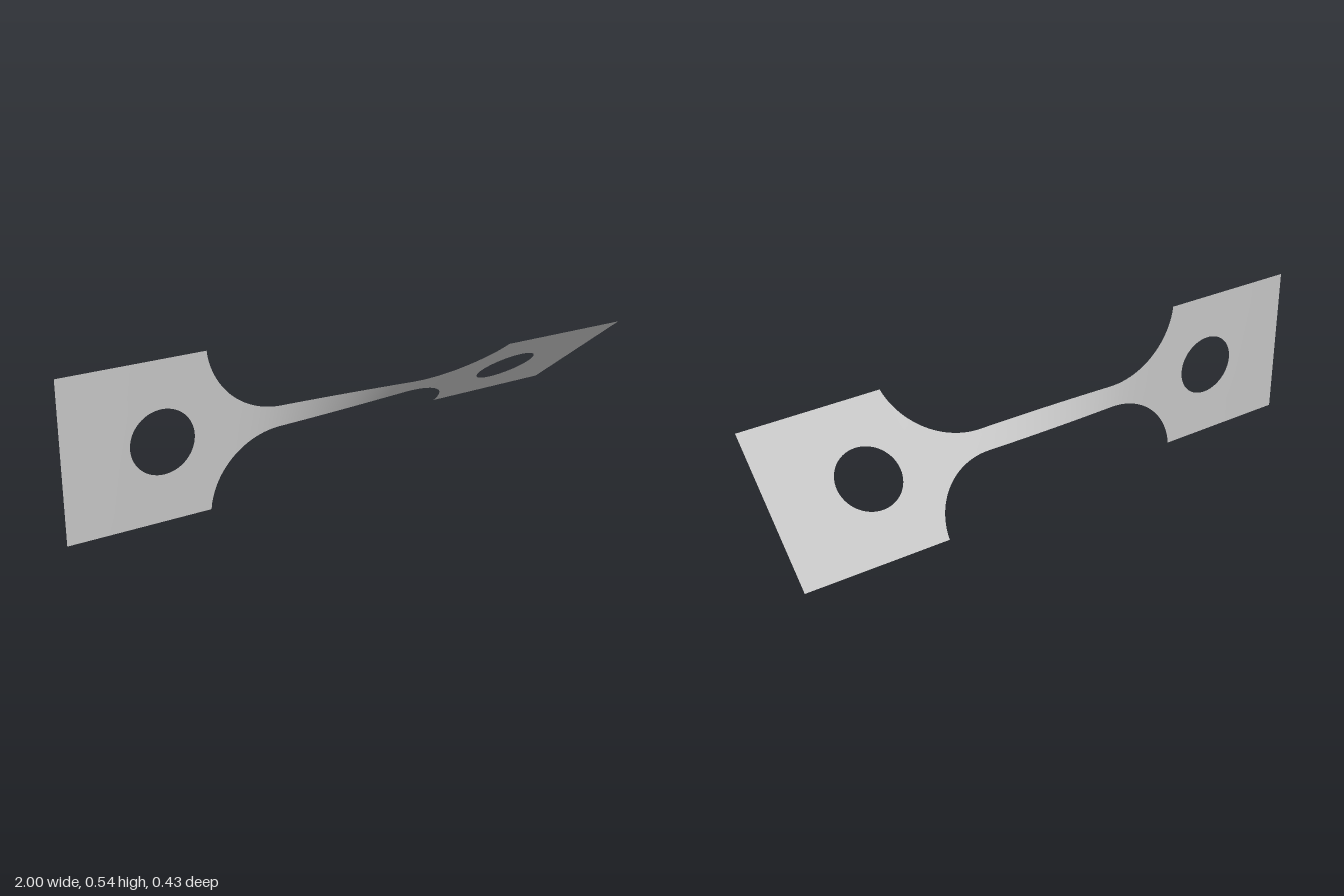
import * as THREE from 'three';
import { mergeGeometries, mergeVertices } from 'three/addons/utils/BufferGeometryUtils.js';

const HALF = 0.27, NECK = 0.038;            // half widths of grip and neck
const HOLE_X = 0.67, HOLE_R = 0.109;
const FILLET_R = 0.26, FILLET_X = 0.253, GRIP_X = 0.511;
const MID_Y = 0.2705;

// Twist away from the middle angle, in degrees, against distance from the centre
const TWIST = [[0, 0], [0.25, 18], [0.3, 21.3], [0.35, 23.5], [0.4, 24.6], [0.5, 25.2], [1, 25.8]];

function twistAt(x) {
  const d = Math.abs(x);
  let i = 1;
  while (i < TWIST.length - 1 && d > TWIST[i][0]) i++;
  const [x0, a0] = TWIST[i - 1], [x1, a1] = TWIST[i];
  const a = a0 + (a1 - a0) * (d - x0) / (x1 - x0);
  return THREE.MathUtils.degToRad(26.2 + Math.sign(x) * a);
}

// Sheet strip from cross-sections [x, low, high], turned about the long axis
function strip(sections, rows) {
  const pos = [], index = [];
  sections.forEach(([x, lo, hi], i) => {
    const a = twistAt(x);
    for (let j = 0; j <= rows; j++) {
      const w = lo + (hi - lo) * j / rows;
      pos.push(x, MID_Y + w * Math.cos(a), w * Math.sin(a));
      if (i && j) {
        const d = i * (rows + 1) + j, b = d - rows - 1;
        index.push(b - 1, d - 1, d, b - 1, d, b);
      }
    }
  });
  const g = new THREE.BufferGeometry();
  g.setAttribute('position', new THREE.Float32BufferAttribute(pos, 3));
  g.setIndex(index);
  return g;
}

const range = (n, f) => Array.from({ length: n + 1 }, (_, i) => f(i / n));
const lerp = THREE.MathUtils.lerp;

// Grip plate with its round hole and the fillets into the neck; s is the side
function gripGeometry(s) {
  const order = (list) => (s < 0 ? list.reverse() : list);
  const plain = (x0, x1) => strip(order(range(6, t => [s * lerp(x0, x1, t), -HALF, HALF])), 8);
  const hole = (k) => strip(order(range(48, t => {
    const a = Math.PI * t;
    const x = s * (HOLE_X - HOLE_R * Math.cos(a)), h = HOLE_R * Math.sin(a);
    return k > 0 ? [x, h, HALF] : [x, -HALF, -h];
  })), 4);
  const end = Math.asin((GRIP_X - FILLET_X) / FILLET_R);
  const fillet = strip(order(range(32, t => {
    const a = end * t;
    const h = t === 1 ? HALF : NECK + FILLET_R * (1 - Math.cos(a));
    return [s * (FILLET_X + FILLET_R * Math.sin(a)), -h, h];
  })), 8);
  const parts = [fillet, plain(GRIP_X, HOLE_X - HOLE_R), hole(1), hole(-1), plain(HOLE_X + HOLE_R, 1)];
  const g = mergeVertices(mergeGeometries(parts), 1e-5);
  g.computeVertexNormals();
  return g;
}

export function createModel() {
  const group = new THREE.Group();
  group.name = 'twistedSheetSpecimen';
  const grey = new THREE.MeshStandardMaterial({ color: 0xc4c4c4, side: THREE.DoubleSide });
  grey.name = 'sheet grey';

  const add = (name, geometry) => {
    const mesh = new THREE.Mesh(geometry, grey);
    mesh.name = name;
    group.add(mesh);
  };

  // Narrow twisted neck
  const neck = strip(range(40, t => [lerp(-FILLET_X, FILLET_X, t), -NECK, NECK]), 8);
  neck.computeVertexNormals();
  add('neck', neck);

  // Grip plates at both ends
  add('leftGrip', gripGeometry(1));
  add('rightGrip', gripGeometry(-1));
  return group;
}
